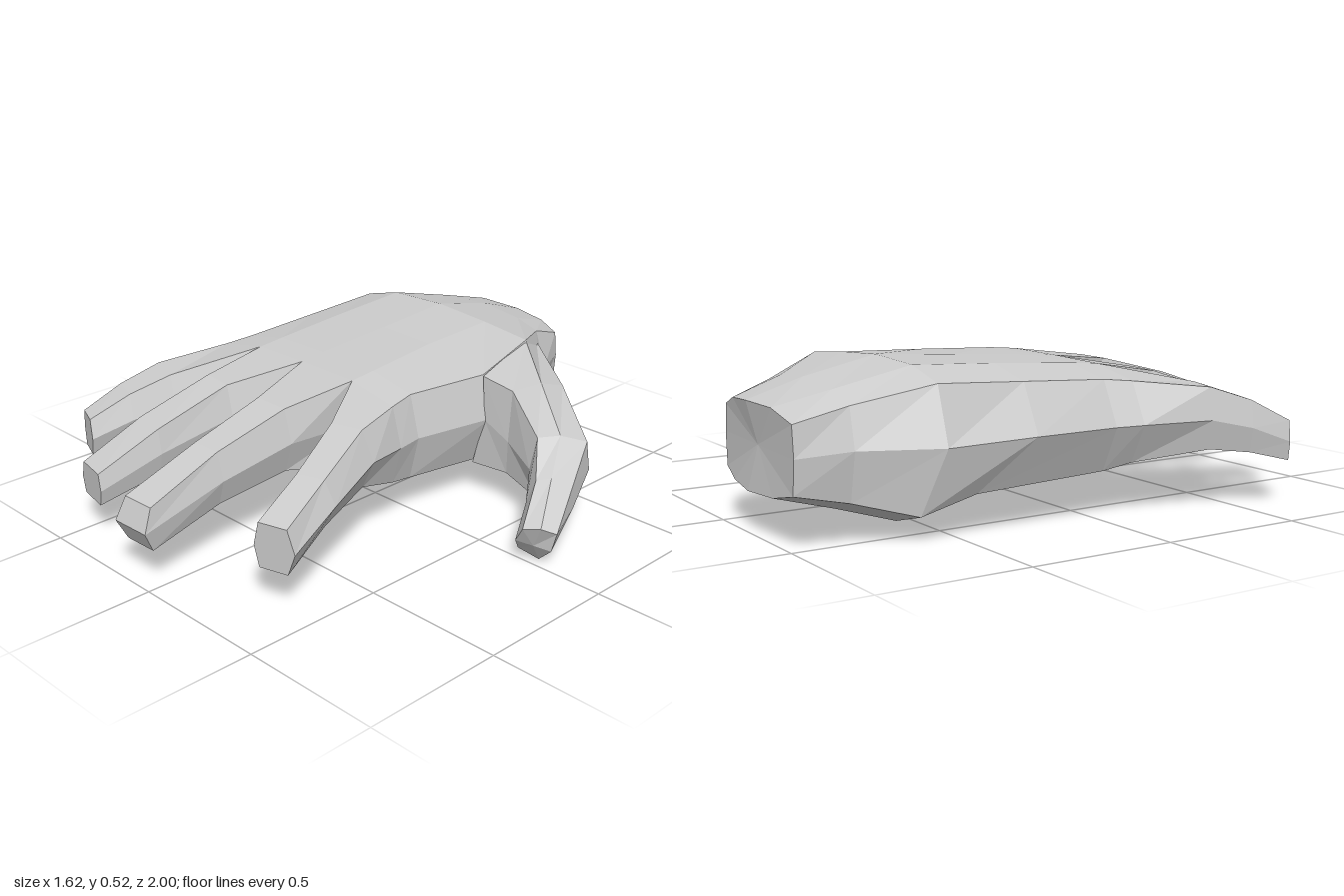
import * as THREE from 'three';

const material = new THREE.MeshStandardMaterial({ color: 0xcccccc, flatShading: true, side: THREE.DoubleSide });

const midpoint = (a, b) => a.map((v, i) => (v + b[i]) / 2);

// Skins a row of equal-length point rings; a closed end is creased between its two side points.
function loft(name, rings, capStart, capEnd) {
  const n = rings[0].length;
  const tris = [];
  for (let i = 0; i < rings.length - 1; i++) {
    for (let j = 0; j < n; j++) {
      const k = (j + 1) % n;
      const a = rings[i][j], b = rings[i][k], c = rings[i + 1][k], d = rings[i + 1][j];
      tris.push([a, b, c], [a, c, d]);
    }
  }
  const cap = (ring, flip) => {
    const centre = midpoint(ring[0], ring[Math.ceil(n / 2)]);
    ring.forEach((p, j) => {
      const next = ring[(j + 1) % n];
      tris.push(flip ? [centre, next, p] : [centre, p, next]);
    });
  };
  if (capStart) cap(rings[0], true);
  if (capEnd) cap(rings[rings.length - 1], false);

  const geometry = new THREE.BufferGeometry();
  geometry.setAttribute('position', new THREE.Float32BufferAttribute(tris.flat(2), 3));
  geometry.computeVertexNormals();
  const mesh = new THREE.Mesh(geometry, material);
  mesh.name = name;
  return mesh;
}

// Palm section, clockwise seen from the front: left edge, top, right edge, underside.
// zR skews the right side, zLow shifts the underside.
function palmRing({ z, zR = z, zLow = z, edge, xs, top, mid, bottom }) {
  const skew = x => (zR - z) * Math.max(0, (x + 0.2) / (edge[1] + 0.2));
  const ring = [[edge[0], mid, z]];
  xs.forEach((x, i) => ring.push([x, top[i], z + skew(x)]));
  ring.push([edge[1], mid, zR]);
  for (let i = xs.length - 1; i >= 0; i--) ring.push([xs[i], bottom[i], zLow + skew(xs[i])]);
  return ring;
}

// Six-sided finger section between side points a and b (x, z); push moves the side points forward.
function fingerRing([a, b, top, bottom, insetA = 0.16, insetB = 0.16, push = 0]) {
  const at = (t, y, dz = 0) => [a[0] + (b[0] - a[0]) * t, y, a[1] + (b[1] - a[1]) * t + dz];
  const mid = bottom + (top - bottom) * 0.48;
  return [
    at(0, mid, push), at(insetA, top), at(1 - insetB, top),
    at(1, mid, push), at(1 - insetB, bottom), at(insetA, bottom),
  ];
}

// Root of finger i, sharing the corners of the palm's front end
function rootRing(palmEnd, i) {
  const [tl, tr] = [palmEnd[i + 1], palmEnd[i + 2]];
  const [bl, br] = [palmEnd[11 - i], palmEnd[10 - i]];
  const left = i === 0 ? palmEnd[0] : midpoint(tl, bl);
  const right = i === 3 ? palmEnd[6] : midpoint(tr, br);
  return [left, tl, tr, right, br, bl];
}

export function createModel() {
  const hand = new THREE.Group();
  hand.name = 'hand';

  // Wrist, heel and palm up to the knuckles
  const palm = [
    { z: -1, zR: -0.97, edge: [-0.53, 0.03], xs: [-0.52, -0.38, -0.2, -0.06, 0.02],
      top: [0.38, 0.41, 0.41, 0.4, 0.37], mid: 0.28, bottom: [0.17, 0.14, 0.13, 0.14, 0.17] },
    { z: -0.82, zR: -0.8, edge: [-0.56, 0.11], xs: [-0.53, -0.42, -0.22, -0.04, 0.06],
      top: [0.42, 0.455, 0.47, 0.455, 0.43], mid: 0.29, bottom: [0.13, 0.095, 0.085, 0.09, 0.12] },
    { z: -0.57, zLow: -0.63, edge: [-0.67, 0.28], xs: [-0.61, -0.46, -0.23, 0, 0.2],
      top: [0.475, 0.515, 0.525, 0.51, 0.49], mid: 0.29, bottom: [0.08, 0.04, 0.035, 0.05, 0.065] },
    { z: -0.27, zLow: -0.44, edge: [-0.7, 0.3], xs: [-0.62, -0.46, -0.23, 0, 0.26],
      top: [0.46, 0.5, 0.505, 0.5, 0.455], mid: 0.3, bottom: [0.13, 0.12, 0.115, 0.115, 0.12] },
    { z: 0.03, edge: [-0.7, 0.24], xs: [-0.63, -0.46, -0.235, 0.02, 0.2],
      top: [0.445, 0.48, 0.485, 0.485, 0.45], mid: 0.3, bottom: [0.15, 0.137, 0.135, 0.135, 0.14] },
    { z: 0.13, edge: [-0.715, 0.255], xs: [-0.65, -0.46, -0.235, 0.02, 0.215],
      top: [0.435, 0.472, 0.476, 0.476, 0.44], mid: 0.3, bottom: [0.17, 0.155, 0.15, 0.15, 0.16] },
  ].map(palmRing);
  hand.add(loft('palm', palm, true, false));

  // Fingers: rings beyond the knuckle, out to the tip
  const fingers = {
    littleFinger: [
      [[-0.755, 0.38], [-0.575, 0.44], 0.405, 0.2, 0.12, 0.16],
      [[-0.785, 0.53], [-0.635, 0.58], 0.355, 0.18, 0.12, 0.16],
      [[-0.815, 0.67], [-0.7, 0.715], 0.28, 0.145, 0.1, 0.15],
    ],
    ringFinger: [
      [[-0.49, 0.37], [-0.31, 0.39], 0.43, 0.215],
      [[-0.525, 0.64], [-0.35, 0.67], 0.34, 0.175, 0.16, 0.1],
      [[-0.55, 0.86], [-0.4, 0.89], 0.23, 0.115, 0.12, 0.08],
    ],
    middleFinger: [
      [[-0.19, 0.4], [0.01, 0.4], 0.44, 0.215],
      [[-0.17, 0.68], [-0.005, 0.68], 0.37, 0.185],
      [[-0.155, 0.965], [-0.005, 0.96], 0.275, 0.125, 0.08, 0.08, 0.035],
    ],
    indexFinger: [
      [[0.13, 0.35], [0.3, 0.3], 0.425, 0.22, 0.1, 0.25],
      [[0.225, 0.59], [0.375, 0.54], 0.355, 0.195, 0.12, 0.25],
      [[0.285, 0.8], [0.43, 0.76], 0.285, 0.13, 0.12, 0.18],
    ],
  };
  Object.entries(fingers).forEach(([name, rings], i) => {
    hand.add(loft(name, [rootRing(palm[5], i), ...rings.map(fingerRing)], false, true));
  });

  // Thumb: outer side, three points over the top, inner side, two points below
  const thumb = [
    [[0.1, 0.23, -0.8], [0.08, 0.4, -0.78], [0.19, 0.485, -0.58], [0.27, 0.455, -0.26],
      [0.29, 0.3, -0.25], [0.24, 0.12, -0.25], [0.1, 0.08, -0.68]],
    [[0.4, 0.24, -0.62], [0.4, 0.38, -0.54], [0.4, 0.42, -0.42], [0.4, 0.435, -0.265],
      [0.4, 0.25, -0.25], [0.39, 0.125, -0.26], [0.4, 0.12, -0.5]],
    [[0.67, 0.2, -0.36], [0.67, 0.31, -0.34], [0.61, 0.335, -0.27], [0.56, 0.33, -0.21],
      [0.54, 0.21, -0.2], [0.56, 0.1, -0.22], [0.61, 0.1, -0.33]],
    [[0.74, 0.14, -0.19], [0.74, 0.22, -0.18], [0.69, 0.25, -0.13], [0.65, 0.24, -0.1],
      [0.62, 0.15, -0.09], [0.63, 0.06, -0.1], [0.69, 0.05, -0.16]],
    [[0.79, 0.06, -0.02], [0.81, 0.13, -0.02], [0.775, 0.15, 0.02], [0.72, 0.14, 0.045],
      [0.68, 0.08, 0.03], [0.66, 0.03, -0.01], [0.725, 0, -0.04]],
  ];
  hand.add(loft('thumb', thumb, false, true));

  return hand;
}
